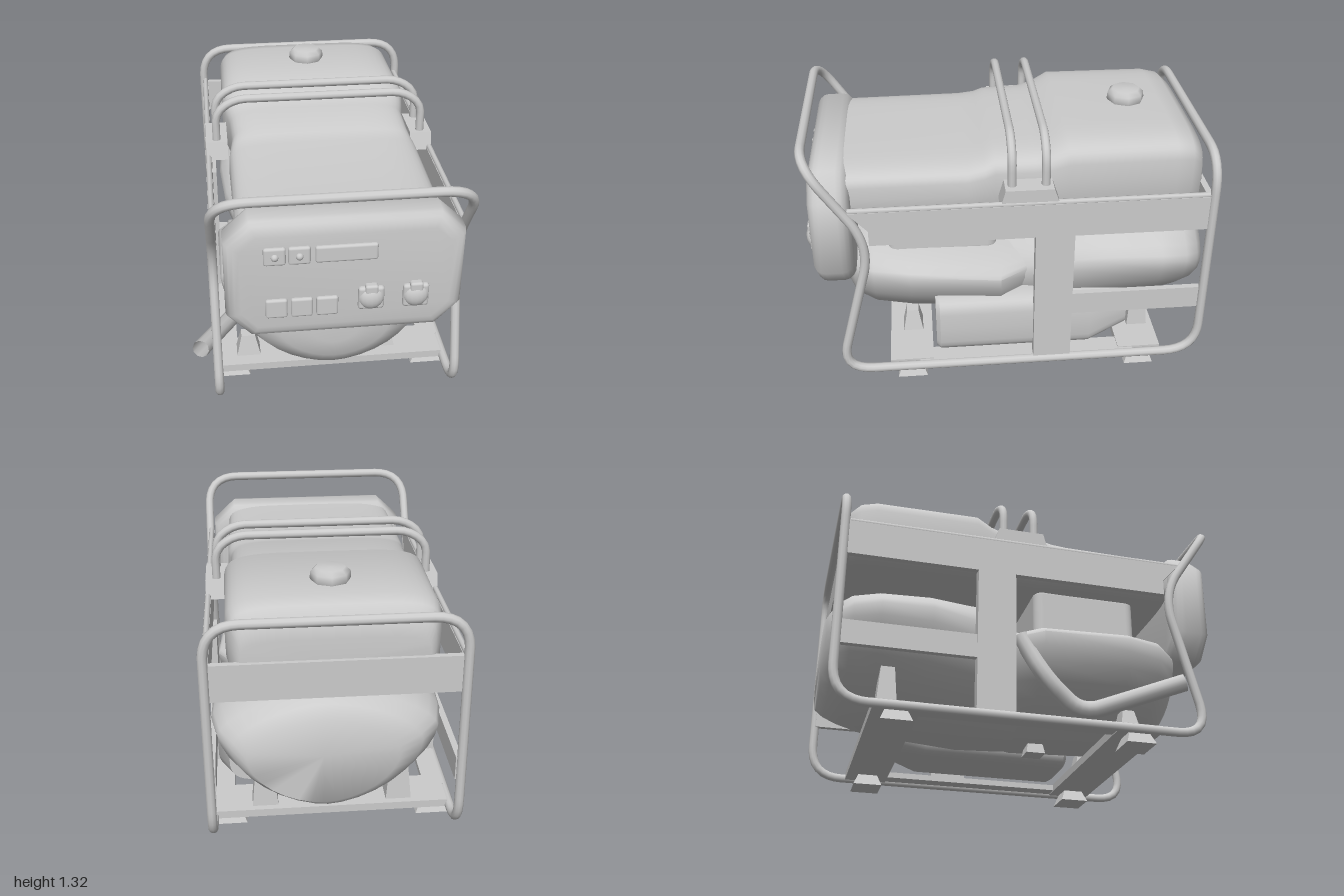
import * as THREE from 'three';
import { toCreasedNormals } from 'three/addons/utils/BufferGeometryUtils.js';
import { RoundedBoxGeometry } from 'three/addons/geometries/RoundedBoxGeometry.js';

const material = new THREE.MeshStandardMaterial({ color: 0xcccccc, side: THREE.DoubleSide });
const V = (x, y, z) => new THREE.Vector3(x, y, z);

// Polyline with rounded corners, swept as a tube
function bentTube(points, corner, radius, closed = false) {
  const path = new THREE.CurvePath();
  const n = points.length;
  let last = closed ? points[0].clone().lerp(points[n - 1], 0.5) : points[0];
  const start = last;
  for (let i = closed ? 0 : 1; i < (closed ? n : n - 1); i++) {
    const p = points[i], prev = points[(i + n - 1) % n], next = points[(i + 1) % n];
    const a = p.clone().add(prev.clone().sub(p).setLength(corner));
    const b = p.clone().add(next.clone().sub(p).setLength(corner));
    path.add(new THREE.LineCurve3(last, a));
    path.add(new THREE.QuadraticBezierCurve3(a, p, b));
    last = b;
  }
  path.add(new THREE.LineCurve3(last, closed ? start : points[n - 1]));
  return new THREE.TubeGeometry(path, Math.ceil(path.getLength() / 0.035), radius, 10, closed);
}

// Skin over superellipse sections, front to back:
// [z, centreX, centreY, halfWidth, depthBelow, power, heightAbove]
function loft(sections, crease, sides = 32) {
  const pos = [], index = [];
  for (const [z, cx, cy, hx, below, power, above = below] of sections) {
    for (let j = 0; j < sides; j++) {
      const t = (j / sides) * Math.PI * 2, c = Math.cos(t), s = Math.sin(t);
      pos.push(cx + hx * Math.sign(c) * Math.abs(c) ** (2 / power),
        cy + (s > 0 ? above : -below) * Math.abs(s) ** (2 / power), z);
    }
  }
  const rows = sections.length, front = rows * sides, back = front + 1;
  for (const s of [sections[0], sections[rows - 1]]) pos.push(s[1], s[2], s[0]);
  for (let j = 0; j < sides; j++) {
    const k = (j + 1) % sides, end = (rows - 1) * sides;
    for (let i = 0; i < rows - 1; i++) {
      const a = i * sides + j, b = i * sides + k;
      index.push(a, a + sides, b, b, a + sides, b + sides);
    }
    index.push(front, j, k, back, end + k, end + j);
  }
  const geo = new THREE.BufferGeometry();
  geo.setAttribute('position', new THREE.Float32BufferAttribute(pos, 3));
  geo.setIndex(index);
  return toCreasedNormals(geo, crease);
}

// Four-sided tapered block standing on its base
function frustum(w0, d0, w1, h) {
  const geo = new THREE.CylinderGeometry((w1 / w0) * Math.SQRT1_2, Math.SQRT1_2, 1, 4).toNonIndexed();
  geo.rotateY(Math.PI / 4).scale(w0, h, d0).translate(0, h / 2, 0);
  geo.computeVertexNormals();
  return geo;
}

// Plate outlined in (z, y), thickness centred on x = 0
function sidePlate(outline, thickness) {
  const shape = new THREE.Shape(outline.map(([z, y]) => new THREE.Vector2(-z, y)));
  const geo = new THREE.ExtrudeGeometry(shape, { depth: thickness, bevelEnabled: false });
  return geo.translate(0, 0, -thickness / 2).rotateY(Math.PI / 2);
}

export function createModel() {
  const root = new THREE.Group();
  const body = new THREE.Group();
  body.name = 'generator';
  body.position.x = 0.05; // the cage sits slightly to the left of the centre
  root.add(body);
  const add = (name, geo, x = 0, y = 0, z = 0) => {
    const mesh = new THREE.Mesh(geo, material);
    mesh.name = name;
    mesh.position.set(x, y, z);
    body.add(mesh);
  };
  const box = (name, w, h, d, x, y, z) => add(name, new THREE.BoxGeometry(w, h, d), x, y, z);

  // Tubular cage, one continuous loop
  const side = [[1.265, 0.97], [0.82, 0.675], [0.07, 0.87], [0.07, -0.963], [1.195, -0.963]];
  const loop = [...side.map(([y, z]) => V(0.583, y, z)), ...side.reverse().map(([y, z]) => V(-0.583, y, z))];
  add('cageTube', bentTube(loop, 0.17, 0.023, true));

  // Side frame members, mirrored
  for (const s of [-1, 1]) {
    add('sideBeam', sidePlate([[0.77, 1], [0.68, 0.9], [0.68, 0.82], [-0.95, 0.82], [-0.95, 1]], 0.03), s * 0.575);
    add('beamLip', new THREE.CylinderGeometry(0.014, 0.014, 1.72, 8).rotateX(Math.PI / 2), s * 0.575, 1.005, -0.09);
    box('sidePost', 0.05, 0.75, 0.19, s * 0.565, 0.45, -0.205);
    box('lowerSideBar', 0.03, 0.12, 0.66, s * 0.57, 0.41, -0.63);
    box('bottomRail', 0.1, 0.03, 1.1, s * 0.53, 0.08, -0.08);
    add('handleBracket', sidePlate([[0.06, 0.99], [0.035, 1.08], [-0.195, 1.08], [-0.225, 0.99]], 0.11), s * 0.53);
    for (const z of [0.51, -0.665]) add('foot', frustum(0.165, 0.15, 0.1, 0.075), s * 0.505, 0, z);
    add('frontMount', frustum(0.13, 0.11, 0.07, 0.13), s * 0.35 - 0.075, 0.08, 0.5);
    add('rearMount', frustum(0.13, 0.11, 0.08, 0.27), s * 0.33, 0.08, -0.69);
  }
  add('centreMount', frustum(0.1, 0.1, 0.06, 0.1), -0.04, 0.08, 0.13);
  box('rearBand', 1.14, 0.18, 0.03, 0, 0.91, -0.945);
  for (const z of [0.51, -0.665]) box('crossBar', 1.14, 0.04, 0.22, 0, 0.08, z);

  // Twin carrying hoops
  for (const z of [0, -0.16]) {
    add('carryHandle', bentTube([V(-0.53, 1.05, z), V(-0.53, 1.23, z), V(-0.43, 1.3, z),
      V(0.43, 1.3, z), V(0.53, 1.23, z), V(0.53, 1.05, z)], 0.06, 0.021));
  }

  // Cover and fuel tank: [z, top, half width]
  const covers = [[0.9, 1.08, 0.43], [0.85, 1.135, 0.47], [0.2, 1.14, 0.475], [0.12, 1.155, 0.465],
    [0.07, 1.18, 0.455], [-0.12, 1.185, 0.46], [-0.2, 1.205, 0.475], [-0.28, 1.25, 0.49],
    [-0.8, 1.25, 0.485], [-0.88, 1.235, 0.47], [-0.93, 1.19, 0.44], [-0.94, 1.1, 0.42]];
  add('coverAndTank', loft(covers.map(([z, top, hw]) => [z, 0, (top + 0.86) / 2, hw, (top - 0.86) / 2, 5]), 0.8, 40));
  const cap = [[0.085, -0.01], [0.095, 0.015], [0.092, 0.045], [0.07, 0.065], [0, 0.067]];
  add('fuelCap', new THREE.LatheGeometry(cap.map(([r, y]) => new THREE.Vector2(r, y)), 8), 0, 1.245, -0.63);

  // Bowl-shaped engine at the front, keel-bottomed generator housing at the rear
  add('engineBody', loft([[0.835, -0.02, 0.48, 0.12, 0.1, 2], [0.825, -0.02, 0.49, 0.27, 0.2, 1.9, 0.13],
    [0.78, -0.02, 0.52, 0.4, 0.3, 1.8, 0.15], [0.68, -0.02, 0.55, 0.48, 0.39, 1.75, 0.15],
    [0.5, -0.02, 0.56, 0.53, 0.43, 1.7, 0.13], [0.05, 0, 0.55, 0.55, 0.43, 1.7, 0.12],
    [-0.1, 0, 0.54, 0.44, 0.4, 1.7, 0.11]], 0.9));
  add('generatorHousing', loft([[0.0, 0, 0.48, 0.42, 0.36, 1.8, 0.24], [-0.25, 0.01, 0.58, 0.51, 0.47, 1.75, 0.25],
    [-0.5, 0.02, 0.62, 0.54, 0.49, 1.65, 0.22], [-0.75, 0.03, 0.62, 0.54, 0.46, 1.6, 0.22],
    [-0.88, 0.03, 0.6, 0.51, 0.4, 1.6, 0.22], [-0.95, 0.04, 0.57, 0.44, 0.33, 1.7, 0.21],
    [-0.99, 0.06, 0.53, 0.35, 0.25, 1.8, 0.19]], 0.9));
  add('engineTop', new RoundedBoxGeometry(0.72, 0.32, 0.55, 3, 0.05), 0, 0.75, 0.33);
  add('muffler', loft([[0.38, 0.35, 0.27, 0.19, 0.15, 5], [0.36, 0.35, 0.27, 0.21, 0.16, 5],
    [-0.4, 0.35, 0.27, 0.21, 0.16, 5], [-0.6, 0.35, 0.29, 0.15, 0.13, 3]], 0.7));

  // Bent exhaust leaving on the right
  add('exhaustPipe', bentTube([V(-0.45, 0.55, -0.05), V(-0.5, 0.32, 0.06), V(-0.47, 0.16, 0.25),
    V(-0.665, 0.3, 0.72)], 0.1, 0.043));

  // Control panel with chamfered corners and soft edges
  const outline = [[-0.4, -0.24], [0.4, -0.24], [0.475, -0.16], [0.475, 0.17], [0.4, 0.24], [-0.4, 0.24],
    [-0.475, 0.17], [-0.475, -0.16]].map(([x, y]) => new THREE.Vector2(x, y));
  const panel = new THREE.ExtrudeGeometry(new THREE.Shape(outline),
    { depth: 0.08, bevelSize: 0.07, bevelThickness: 0.06, bevelSegments: 4 });
  add('controlPanel', toCreasedNormals(panel, 0.9), 0.01, 0.835, 0.82);

  // Switches: [x, y, width, height]
  const switches = [[-0.31, 0.98, 0.1, 0.09], [-0.2, 0.98, 0.1, 0.09], [0.01, 0.98, 0.28, 0.085],
    [-0.305, 0.7, 0.1, 0.1], [-0.19, 0.7, 0.1, 0.1], [-0.075, 0.7, 0.1, 0.1]];
  for (const [x, y, w, h] of switches) {
    add('switch', new RoundedBoxGeometry(w, h, 0.04, 2, 0.012), x, y, 0.955);
  }
  for (const x of [-0.31, -0.2]) {
    add('indicatorLamp', new THREE.SphereGeometry(0.018, 10, 8), x, 0.98, 0.972);
  }

  // Sockets with hinged caps
  for (const x of [0.125, 0.33]) {
    add('socketPlate', new RoundedBoxGeometry(0.12, 0.12, 0.04, 2, 0.015), x, 0.73, 0.96);
    add('socketCap', new THREE.SphereGeometry(0.06, 16, 12).scale(1, 1, 0.6), x, 0.73, 0.964);
    add('socketHinge', new RoundedBoxGeometry(0.06, 0.06, 0.05, 2, 0.012), x, 0.775, 0.965);
  }
  return root;
}
